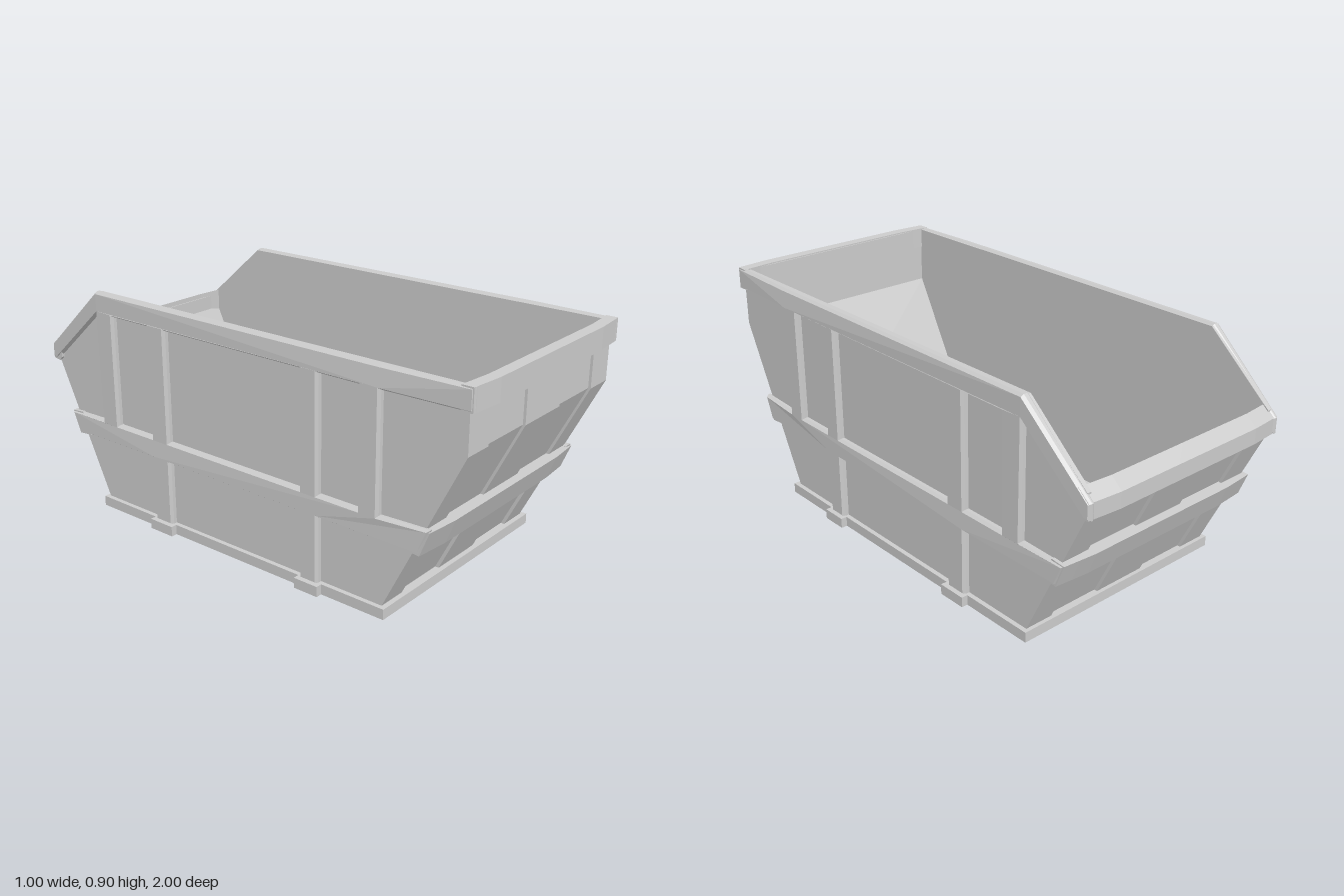
import * as THREE from 'three';

const mat = new THREE.MeshStandardMaterial({ color: 0xcccccc, flatShading: true });
const ramp = (v, a, b) => THREE.MathUtils.clamp((v - a) / (b - a), 0, 1);

// Extrudes a (z, y) outline along x, from x0 to x1
function acrossX(points, x0, x1, { holes = [], steps = 1, bevel = 0 } = {}) {
  const toVec = ([z, y]) => new THREE.Vector2(z, y);
  const shape = new THREE.Shape(points.map(toVec));
  for (const h of holes) shape.holes.push(new THREE.Path(h.map(toVec)));
  const geo = new THREE.ExtrudeGeometry(shape, {
    depth: x1 - x0 - 2 * bevel, steps, bevelEnabled: bevel > 0, bevelSegments: 1,
    bevelThickness: bevel, bevelSize: bevel * 0.65, bevelOffset: -bevel * 0.65,
  });
  return geo.rotateY(-Math.PI / 2).translate(x1 - bevel, 0, 0);
}

// Moves every vertex by a rule
function bend(geo, rule) {
  const p = geo.attributes.position, v = new THREE.Vector3();
  for (let i = 0; i < p.count; i++) {
    rule(v.fromBufferAttribute(p, i));
    p.setXYZ(i, v.x, v.y, v.z);
  }
  geo.computeVertexNormals();
  return geo;
}

// Ends of cross members fall back slightly toward the corners
const bowEnds = (geo) => bend(geo, (v) => {
  v.z -= Math.sign(v.z) * 0.012 * ramp(Math.abs(v.x), 0.34, 0.472);
});

export function createModel() {
  const group = new THREE.Group();
  const add = (name, geo) => {
    const mesh = new THREE.Mesh(geo, mat);
    mesh.name = name;
    group.add(mesh);
  };
  const box = (name, x0, x1, y0, y1, z0, z1) => add(name,
    new THREE.BoxGeometry(x1 - x0, y1 - y0, z1 - z0)
      .translate((x0 + x1) / 2, (y0 + y1) / 2, (z0 + z1) / 2));

  // Base plate, floor and side feet
  box('basePlate', -0.475, 0.475, 0, 0.04, -0.73, 0.68);
  box('floor', -0.442, 0.442, 0.035, 0.05, -0.7, 0.635);
  for (const [z0, z1] of [[0.305, 0.41], [-0.43, -0.315]]) {
    box('leftFoot', 0.475, 0.5, 0, 0.04, z0, z1);
    box('rightFoot', -0.5, -0.475, 0, 0.04, z0, z1);
  }

  // Side walls
  const side = [[0.66, 0.04], [0.97, 0.67], [0.97, 0.9], [-0.7, 0.9],
    [-0.97, 0.665], [-0.97, 0.58], [-0.715, 0.04]];
  add('leftWall', acrossX(side, 0.44, 0.457));
  add('rightWall', acrossX(side, -0.457, -0.44));

  // Raised side frames: rim, belt and uprights in one plate
  const frame = [[0.99, 0.905], [0.65, 0.905], [-0.7, 0.905], [-0.995, 0.64], [-0.995, 0.58],
    [-0.97, 0.58], [-0.7, 0.82], [-0.7, 0.38], [-0.895, 0.375], [-0.86, 0.29],
    [-0.42, 0.295], [-0.42, 0.035], [-0.33, 0.035], [-0.33, 0.295],
    [0.315, 0.295], [0.315, 0.035], [0.395, 0.035], [0.395, 0.295],
    [0.812, 0.29], [0.85, 0.388], [0.65, 0.38], [0.65, 0.82], [0.99, 0.82]];
  const holes = [[0.395, 0.565], [-0.33, 0.315], [-0.61, -0.42]].map(
    ([a, b]) => [[a, 0.38], [b, 0.38], [b, 0.82], [a, 0.82]]);
  for (const s of [1, -1]) {
    const [x0, x1] = s > 0 ? [0.443, 0.483] : [-0.483, -0.443];
    const geo = acrossX(frame, x0, x1, { holes, bevel: 0.012 });
    add(s > 0 ? 'leftFrame' : 'rightFrame', bend(geo, (v) => {
      if (Math.abs(v.x) > 0.46) v.x -= s * 0.011 * ramp(Math.abs(v.z), 0.65, 1);
    }));
  }

  // Sloping end walls with recessed panels
  add('frontWall', acrossX([[0.62, 0.05], [0.645, 0.04], [0.96, 0.67], [0.96, 0.9],
    [0.95, 0.9], [0.95, 0.67]], -0.442, 0.442));
  add('backWall', acrossX([[-0.69, 0.05], [-0.702, 0.04], [-0.96, 0.585], [-0.96, 0.66],
    [-0.95, 0.66], [-0.95, 0.6]], -0.442, 0.442));

  // Raised panels on the end walls: middle and both corners
  const frontRib = [[0.63, 0.04], [0.66, 0.04], [0.97, 0.67], [0.97, 0.83], [0.955, 0.83], [0.955, 0.67]];
  const backRib = [[-0.695, 0.04], [-0.715, 0.04], [-0.97, 0.58], [-0.97, 0.6], [-0.955, 0.6]];
  for (const [a, b] of [[-0.442, -0.34], [-0.113, 0.113], [0.34, 0.442]]) {
    add('frontRib', acrossX(frontRib, a, b));
    add('backRib', acrossX(backRib, a, b));
  }

  // End rims and belts
  const ends = {
    frontRim: [[0.955, 0.82], [1, 0.82], [1, 0.905], [0.955, 0.905]],
    backRim: [[-0.955, 0.59], [-0.97, 0.575], [-1, 0.58], [-1, 0.64], [-0.955, 0.68]],
    frontBelt: [[0.76, 0.29], [0.825, 0.285], [0.863, 0.38], [0.81, 0.38]],
    backBelt: [[-0.81, 0.29], [-0.872, 0.285], [-0.907, 0.375], [-0.85, 0.38]],
  };
  for (const [name, pts] of Object.entries(ends)) {
    add(name, bowEnds(acrossX(pts, -0.47, 0.47, { steps: 14 })));
  }
  return group;
}
